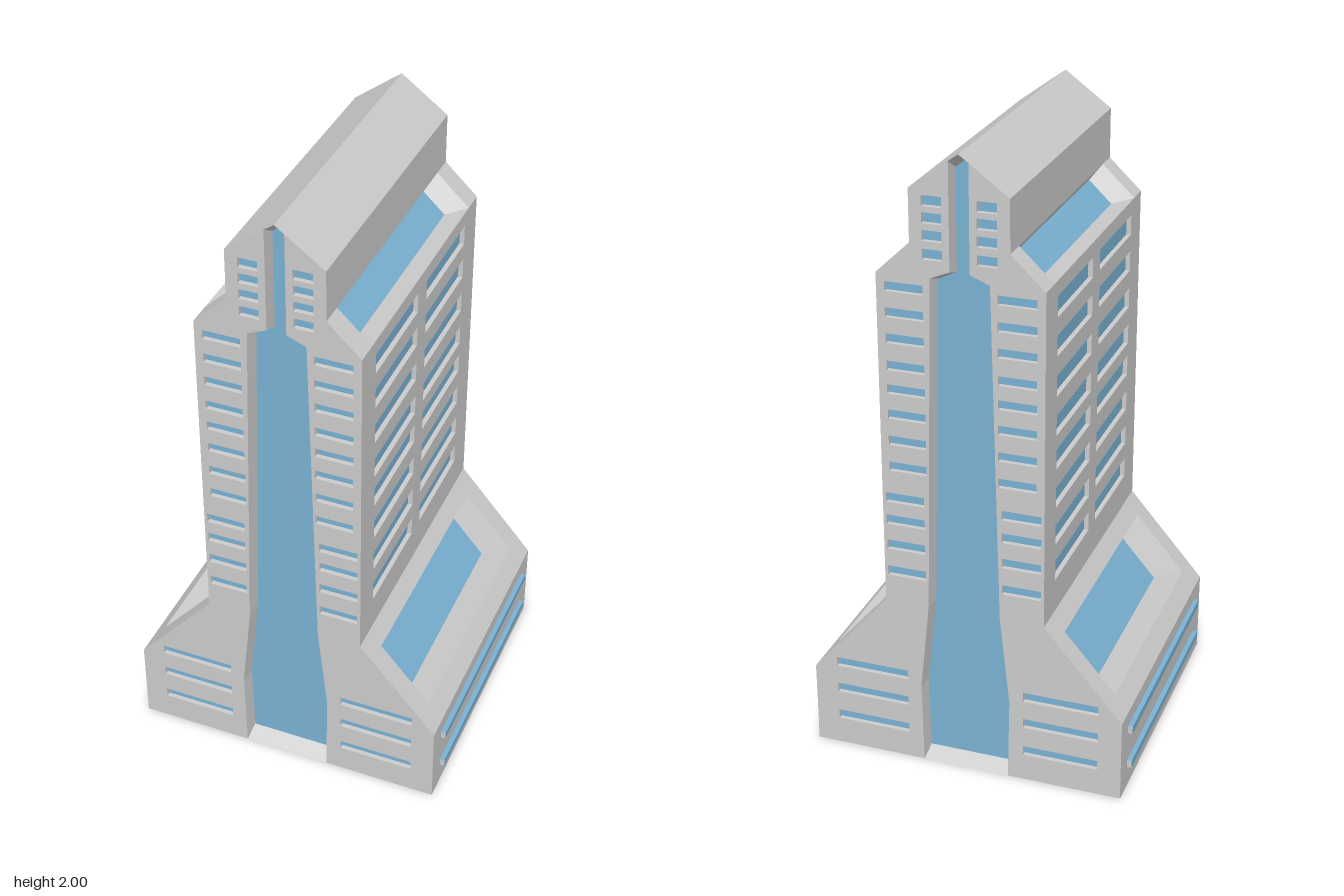
import * as THREE from 'three';
import { mergeGeometries } from 'three/addons/utils/BufferGeometryUtils.js';

const grey = new THREE.MeshStandardMaterial({ color: 0xcccccc, flatShading: true });
const blue = new THREE.MeshStandardMaterial({ color: 0x7ab2d4, flatShading: true });
const HALF_DEPTH = 0.475;

const toVectors = (pts) => pts.map(([x, y]) => new THREE.Vector2(x, y));
const flipX = (pts) => pts.map(([x, y]) => [-x, y]);
const rect = (x0, x1, y0, y1) => [[x0, y0], [x1, y0], [x1, y1], [x0, y1]];

// A straight-sided window recess, given by its span and centre height
const slot = (x0, x1, y, h, depth = 0.015) => {
  const outer = rect(x0, x1, y - h / 2, y + h / 2);
  return { outer, inner: outer, depth };
};

// Quads joining the outer loop at the surface to the inner loop at depth
function recessWalls({ outer, inner, depth }) {
  const cw = THREE.ShapeUtils.isClockWise(toVectors(outer));
  const a = cw ? [...outer].reverse() : outer;
  const b = cw ? [...inner].reverse() : inner;
  const pos = [];
  a.forEach((p, i) => {
    const j = (i + 1) % a.length;
    const A = [...p, 0], B = [...a[j], 0], C = [...b[j], -depth], D = [...b[i], -depth];
    pos.push(...A, ...B, ...C, ...A, ...C, ...D);
  });
  const g = new THREE.BufferGeometry();
  g.setAttribute('position', new THREE.Float32BufferAttribute(pos, 3));
  g.computeVertexNormals();
  return g;
}

// A flat facade: panels with window holes, recess walls and glass panes.
// openRecesses lie between panels, so they need no hole.
function facade(name, matrix, panels, openRecesses = []) {
  const walls = [], panes = [];
  for (const { outline, recesses = [] } of panels) {
    const shape = new THREE.Shape(toVectors(outline));
    shape.holes = recesses.map((r) => new THREE.Path(toVectors(r.outer)));
    const g = new THREE.ShapeGeometry(shape).toNonIndexed();
    g.deleteAttribute('uv');
    walls.push(g);
  }
  for (const r of [...panels.flatMap((p) => p.recesses ?? []), ...openRecesses]) {
    walls.push(recessWalls(r));
    panes.push(new THREE.ShapeGeometry(new THREE.Shape(toVectors(r.inner))).translate(0, 0, -r.depth));
  }
  const group = new THREE.Group();
  group.name = name;
  const add = (part, list, material) => {
    if (!list.length) return;
    const mesh = new THREE.Mesh(mergeGeometries(list).applyMatrix4(matrix), material);
    mesh.name = part;
    group.add(mesh);
  };
  add(name + 'Wall', walls, grey);
  add(name + 'Glass', panes, blue);
  return group;
}

// Side-facade frame: local x runs to -z, local y climbs from p0 to p1
function sideFrame(p0, p1) {
  const v = new THREE.Vector3(p1[0] - p0[0], p1[1] - p0[1], 0).normalize();
  const u = new THREE.Vector3(0, 0, -1);
  return new THREE.Matrix4().makeBasis(u, v, u.clone().cross(v)).setPosition(p0[0], p0[1], 0);
}

function createFront() {
  // Right edge of the tall central recess, at the surface and at the glass
  const edge = [[0.14, 0], [0.145, 0.27], [0.115, 0.56], [0.09, 1.63], [0.03, 1.655], [0.03, 1.978]];
  const glassEdge = [[0.135, 0.025], [0.14, 0.27], [0.11, 0.56], [0.084, 1.612], [0.027, 1.64], [0.027, 1.948]];
  const close = (pts, top) => [...pts, [0, top], ...flipX(pts).reverse()];

  const silhouette = [[0.505, 0], [0.505, 0.27], [0.255, 0.56], [0.255, 1.63], [0.15, 1.73], [0.15, 1.89]];
  const outline = [...silhouette, ...[...edge].reverse()];
  const recesses = [
    ...[0.105, 0.205, 0.3].map((y) => slot(0.19, 0.43, y, 0.032)),
    ...[0.665, 0.755, 0.84, 0.915].map((y) => slot(0.122, 0.245, y, 0.032)),
    ...[1.02, 1.105, 1.19, 1.27, 1.345, 1.43, 1.51, 1.59].map((y) => slot(0.112, 0.23, y, 0.03)),
    ...[1.7, 1.755, 1.807, 1.857].map((y) => slot(0.052, 0.112, y, 0.032)),
  ];
  const mirrored = recesses.map((r) => ({ outer: flipX(r.outer), inner: flipX(r.inner), depth: r.depth }));
  return facade('front', new THREE.Matrix4().makeTranslation(0, 0, HALF_DEPTH), [
    { outline, recesses },
    { outline: flipX(outline), recesses: mirrored },
  ], [{ outer: close(edge, 2), inner: close(glassEdge, 1.968), depth: 0.05 }]);
}

function createSide() {
  const side = new THREE.Group();
  side.name = 'side';
  const D = HALF_DEPTH;
  const profile = [[0.505, 0], [0.505, 0.27], [0.255, 0.56], [0.255, 1.63], [0.15, 1.73], [0.15, 1.89], [0, 2]];
  const section = (name, i, recesses, panels, open) => {
    const [p0, p1] = [profile[i], profile[i + 1]];
    const length = Math.hypot(p1[0] - p0[0], p1[1] - p0[1]);
    const full = [{ outline: rect(-D, D, 0, length), recesses }];
    side.add(facade(name, sideFrame(p0, p1), panels ?? full, open));
  };

  section('base', 0, []);
  // Sloped skylight above the base
  section('baseSlope', 1, [{
    outer: rect(-0.4, 0.4, 0.069, 0.319), inner: rect(-0.365, 0.365, 0.111, 0.309), depth: 0.082,
  }]);
  // Two columns of windows
  const windows = [0.7, 0.82, 0.945, 1.07, 1.18, 1.305, 1.43, 1.55].flatMap((y) => [
    slot(-0.37, -0.035, y - 0.56, 0.065), slot(0.035, 0.37, y - 0.56, 0.065),
  ]);
  section('tower', 2, windows);
  // Shoulder skylight runs the full height of its slope
  section('shoulder', 3, [], [
    { outline: rect(-D, -0.4, 0, 0.145) }, { outline: rect(0.4, D, 0, 0.145) },
  ], [{ outer: rect(-0.4, 0.4, 0, 0.145), inner: rect(-0.35, 0.35, 0.037, 0.139), depth: 0.049 }]);
  section('crown', 4, []);
  section('roof', 5, []);

  // Projecting glass strips on the base, with grey ends
  for (const y of [0.083, 0.208]) {
    const strip = new THREE.Mesh(new THREE.BoxGeometry(0.03, 0.026, 0.81), [blue, blue, blue, blue, grey, grey]);
    strip.name = 'baseStrip';
    strip.position.set(0.505, y, 0);
    side.add(strip);
  }
  return side;
}

export function createModel() {
  const model = new THREE.Group();
  model.name = 'towerBlock';

  // One front and one side, repeated by a half turn
  const half = new THREE.Group();
  half.name = 'frontHalf';
  half.add(createFront(), createSide());
  const back = half.clone();
  back.name = 'backHalf';
  back.rotation.y = Math.PI;
  model.add(half, back);

  // Underside, notched to meet the central recesses
  const foot = [[0.505, -0.475], [0.505, 0.475], [0.14, 0.475], [-0.14, 0.475], [-0.505, 0.475], [-0.505, -0.475]];
  const underside = new THREE.Mesh(
    new THREE.ShapeGeometry(new THREE.Shape(toVectors(foot))).rotateX(Math.PI / 2), grey);
  underside.name = 'underside';
  model.add(underside);
  return model;
}
